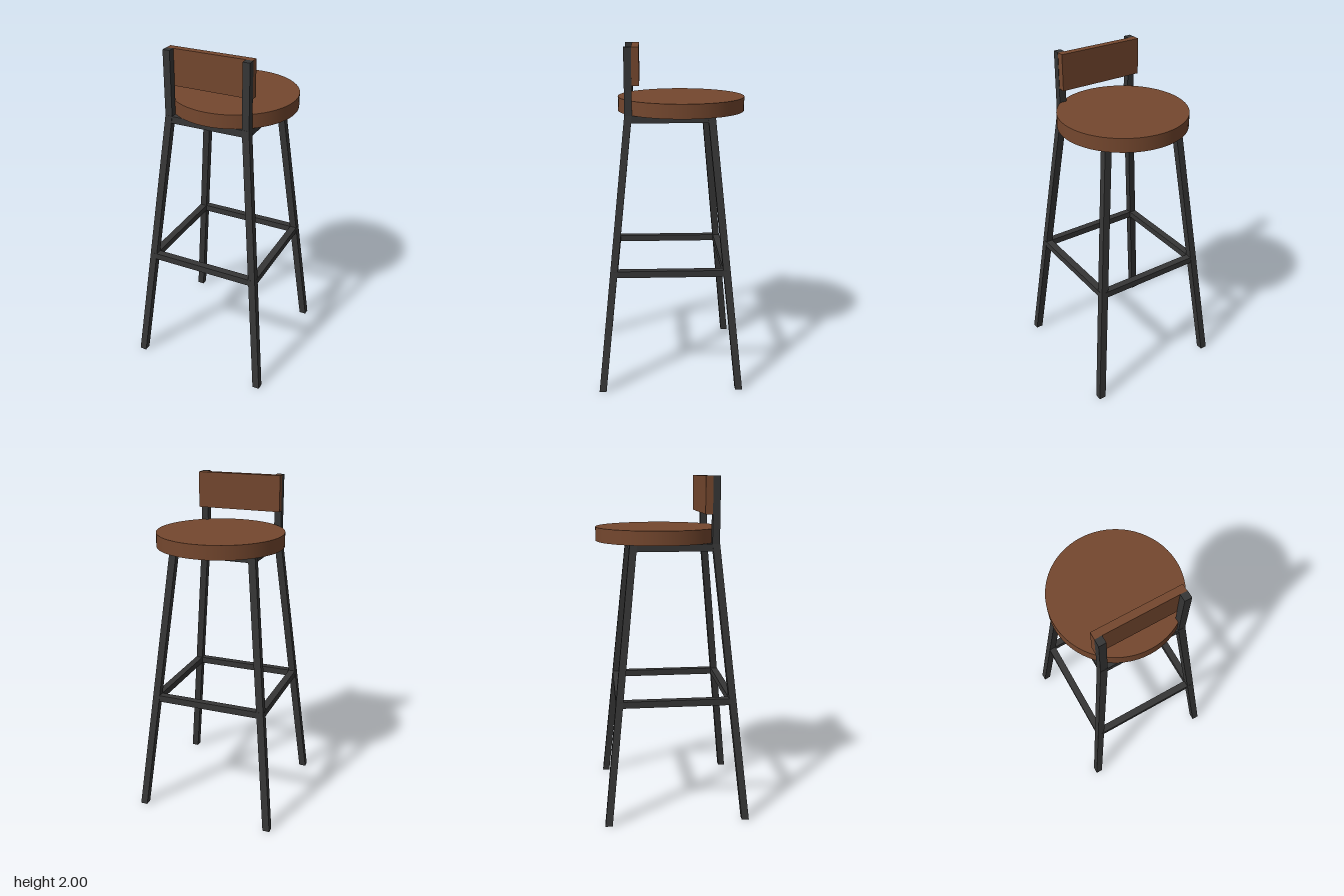
import * as THREE from 'three';

const BAR = 0.042;      // square tube width
const MID_Z = 0.0075;   // centre of the leg frame in z
const FOOT = 0.406;     // leg centre offset at the floor
const TOP = 0.2345;     // leg centre offset under the seat
const LEG_H = 1.625;

export function createModel() {
  const metal = new THREE.MeshStandardMaterial({ color: 0x363636 });
  metal.name = 'dark metal';
  const wood = new THREE.MeshStandardMaterial({ color: 0x74472e });
  wood.name = 'brown wood';

  const model = new THREE.Group();
  model.name = 'barStool';

  const add = (name, geometry, material, x, y, z, parent = model) => {
    const mesh = new THREE.Mesh(geometry, material);
    mesh.name = name;
    mesh.position.set(x, y, z);
    parent.add(mesh);
    return mesh;
  };

  // Square tube sheared outward towards the floor, with level ends
  const legGeometry = (sx, sz) => {
    const g = new THREE.BoxGeometry(BAR, LEG_H, BAR);
    const p = g.attributes.position;
    for (let i = 0; i < p.count; i++) {
      const y = p.getY(i) + LEG_H / 2;
      const offset = THREE.MathUtils.lerp(FOOT, TOP, y / LEG_H);
      p.setXYZ(i, p.getX(i) + sx * offset, y, p.getZ(i) + sz * offset);
    }
    g.computeVertexNormals();
    return g;
  };

  // Four splayed legs
  for (const sx of [-1, 1]) {
    for (const sz of [-1, 1]) {
      const name = (sx > 0 ? 'left' : 'right') + (sz > 0 ? 'Front' : 'Back') + 'Leg';
      add(name, legGeometry(sx, sz), metal, 0, 0, MID_Z);
    }
  }

  // Square ring of four bars joining the legs
  const addRing = (name, offset, y, height) => {
    const ring = new THREE.Group();
    ring.name = name;
    model.add(ring);
    const across = new THREE.BoxGeometry(2 * offset, height, BAR);
    const along = new THREE.BoxGeometry(BAR, height, 2 * offset);
    for (const s of [-1, 1]) {
      add('crossBar', across, metal, 0, y, MID_Z + s * offset, ring);
      add('sideBar', along, metal, s * offset, y, MID_Z, ring);
    }
  };
  addRing('seatFrame', TOP, 1.604, 0.041);
  addRing('footRest', 0.329, 0.717, 0.039);

  // Upright posts continuing two of the legs
  const post = new THREE.BoxGeometry(BAR, 2 - LEG_H, BAR);
  for (const s of [-1, 1]) {
    add(s > 0 ? 'leftPost' : 'rightPost', post, metal, s * TOP, (2 + LEG_H) / 2, MID_Z + TOP - 0.001);
  }

  // Backrest board
  add('backrest', new THREE.BoxGeometry(0.509, 0.21, 0.042), wood, -0.001, 1.895, 0.199);

  // Round seat, set slightly off the frame's centre
  add('seat', new THREE.CylinderGeometry(0.37, 0.37, 0.081, 64), wood, 0.0175, 1.6665, -0.0655);

  return model;
}
